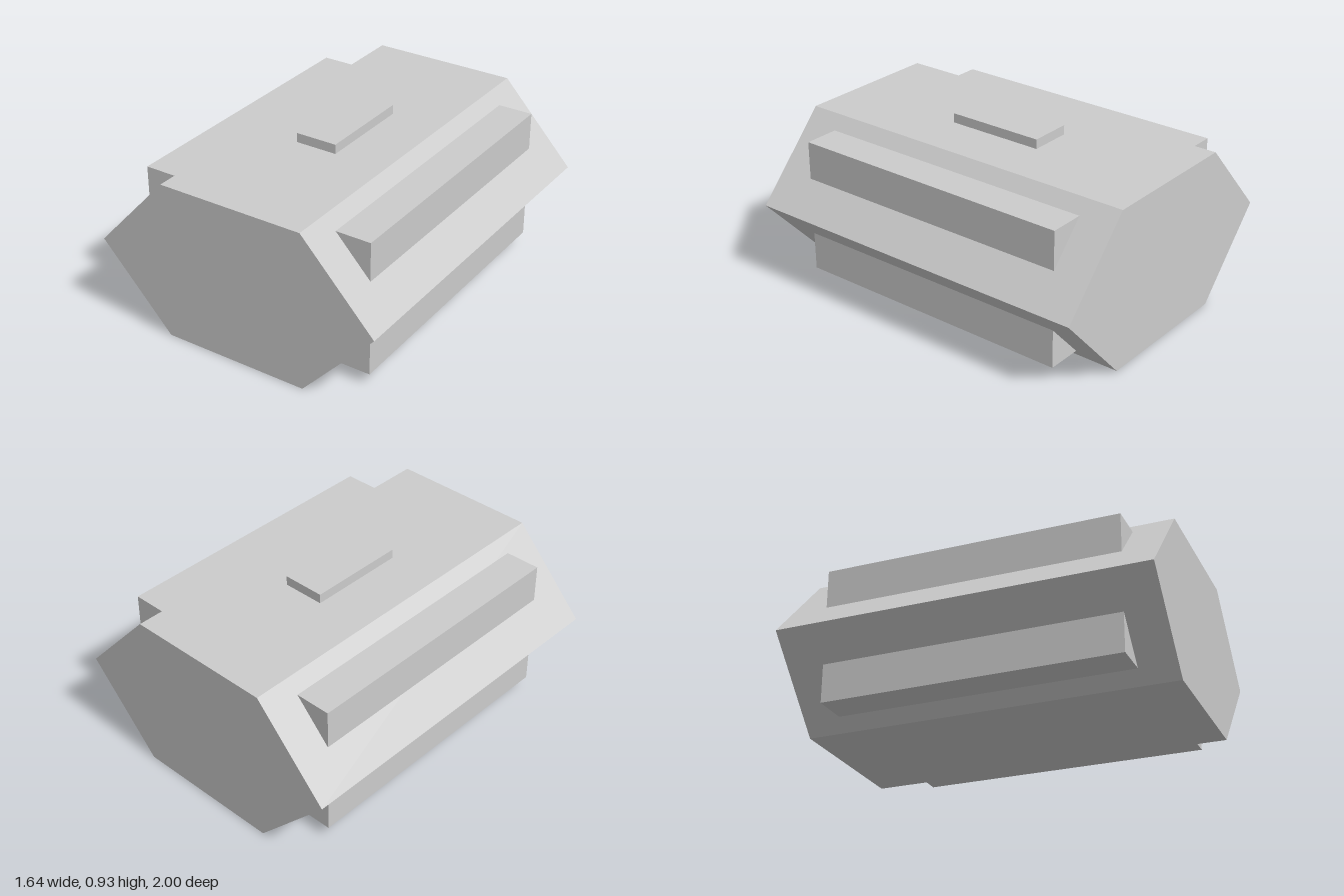
import * as THREE from 'three';

// Extrudes an outline in x/y, centred along z
function prism(points, length) {
  const shape = new THREE.Shape(points.map(([x, y]) => new THREE.Vector2(x, y)));
  const geometry = new THREE.ExtrudeGeometry(shape, { depth: length, bevelEnabled: false });
  return geometry.translate(0, 0, -length / 2);
}

export function createModel() {
  const model = new THREE.Group();
  model.name = 'hexagonalContainer';
  const grey = new THREE.MeshStandardMaterial({ color: 0xcccccc });
  grey.name = 'light grey';

  const add = (name, geometry, x = 0, y = 0, z = 0) => {
    const mesh = new THREE.Mesh(geometry, grey);
    mesh.name = name;
    mesh.position.set(x, y, z);
    model.add(mesh);
  };

  // Six-sided body
  const mid = 0.44;
  add('body', prism([
    [-0.41, -mid], [0.41, -mid], [0.818, 0], [0.41, mid], [-0.41, mid], [-0.818, 0],
  ], 2), 0, mid);

  // Rails on the four sloping sides, sunk slightly into the body
  for (const [side, sx] of [['left', 1], ['right', -1]]) {
    for (const [level, sy] of [['Upper', 1], ['Lower', -1]]) {
      const outline = [[0.668, 0.14], [0.668, 0.372], [0.45, 0.372]];
      add(`${side}${level}Rail`, prism(outline.map(([x, y]) => [x * sx, y * sy]), 1.6), 0, mid);
    }
  }

  // Raised plate on top
  add('topPlate', new THREE.BoxGeometry(0.234, 0.07, 0.545), 0, 0.897);

  return model;
}
